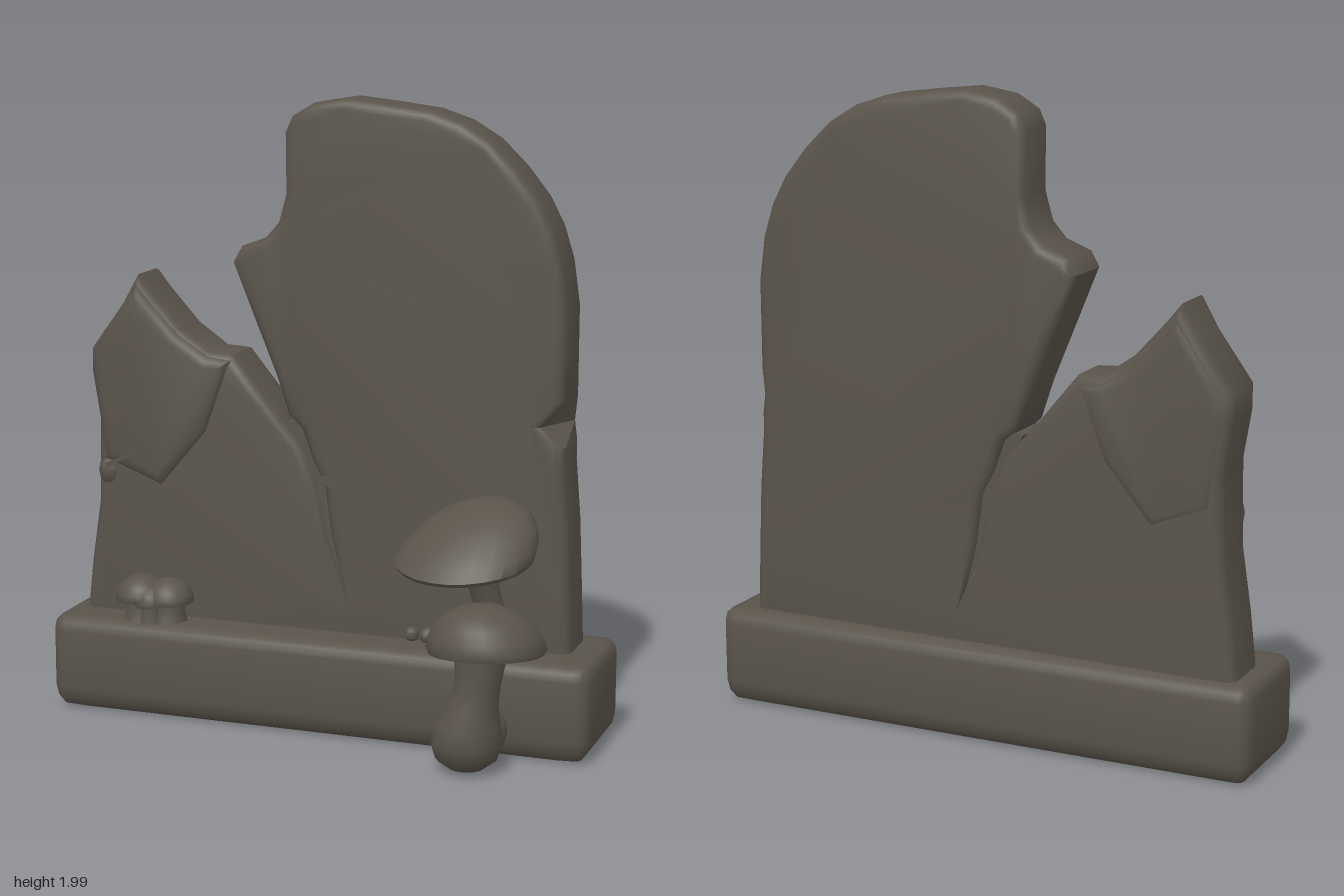
import * as THREE from 'three';
import { toCreasedNormals } from 'three/addons/utils/BufferGeometryUtils.js';

const stone = new THREE.MeshStandardMaterial({ color: 0x59534a });
stone.name = 'stone';

function add(group, name, geometry, crease = 0.75) {
  const mesh = new THREE.Mesh(toCreasedNormals(geometry, crease), stone);
  mesh.name = name;
  group.add(mesh);
  return mesh;
}

// Skin a list of equal-sized rings, ordered from the top down and outside
function loft(rings) {
  const n = rings[0].length, index = [];
  for (let i = 0; i < rings.length - 1; i++) {
    for (let j = 0; j < n; j++) {
      const a = i * n + j, b = i * n + (j + 1) % n;
      index.push(a, a + n, b, b, a + n, b + n);
    }
  }
  const g = new THREE.BufferGeometry();
  g.setAttribute('position', new THREE.Float32BufferAttribute(rings.flat(2), 3));
  g.setIndex(index);
  return g.toNonIndexed();
}

// Rounded rectangle ring of the plinth, inset by d at height y
function plinthRing([d, y]) {
  const hx = 0.897 - d, hz = Math.max(0.2 - d, 0.001);
  const r = Math.min(d >= 0.05 ? 0.06 : Math.max(0.05 - d, 0.015), hz);
  const ring = [];
  for (let c = 0; c < 4; c++) {
    const sx = c === 0 || c === 3 ? 1 : -1, sz = c < 2 ? -1 : 1;
    for (let k = 0; k <= 4; k++) {
      const a = (c + k / 4) * Math.PI / 2;
      const x = sx * (hx - r) + r * Math.cos(a);
      const z = sz * (hz - r) - r * Math.sin(a);
      ring.push([x - 0.003, y, z - 0.14 - (z < 0 ? 0.014 * x : 0)]);
    }
  }
  return ring;
}

// Upright stem through [x, y, z, radius] stations, top first
function stem(stations) {
  return loft(stations.map(([x, y, z, r]) => Array.from({ length: 16 }, (_, k) => {
    const a = k * Math.PI / 8;
    return [x + r * Math.cos(a), y, z - r * Math.sin(a)];
  })));
}

// Domed cap with a shallow hollow underside; leanX and leanZ move its apex sideways
function cap(group, name, r, h, [x, y, z], tiltX, tiltZ, sx = 1, leanX = 0, leanZ = 0) {
  const profile = [[0, 0.12], [0.45, 0.1], [0.8, 0.0], [0.97, -0.1], [1, 0], [0.95, 0.25],
    [0.82, 0.54], [0.6, 0.8], [0.32, 0.96], [0, 1]].map(([u, v]) => new THREE.Vector2(u * r, v * h));
  const g = new THREE.LatheGeometry(profile, 24);
  const p = g.attributes.position;
  for (let i = 0; i < p.count; i++) {
    const t = Math.max(0, p.getY(i) / h);
    p.setX(i, p.getX(i) + leanX * t);
    p.setZ(i, p.getZ(i) + leanZ * t);
  }
  const mesh = add(group, name, g, 0.9);
  mesh.position.set(x, y, z);
  mesh.rotation.set(tiltX, 0, tiltZ);
  mesh.scale.x = sx;
}

// Bevelled plate from an outline, spanning z back..front
function plate(points, back, front, bevel) {
  const shape = new THREE.Shape(points.map(([x, y]) => new THREE.Vector2(x, y)));
  const g = new THREE.ExtrudeGeometry(shape, {
    depth: front - back - 2 * bevel, bevelEnabled: bevel > 0, bevelThickness: bevel,
    bevelSize: bevel, bevelOffset: -bevel, bevelSegments: 3
  });
  return g.translate(0, 0, back + bevel);
}

// Hairline crack: a tapering thin sliver along a path
function crack(group, points, z, width) {
  const last = points.length - 1;
  const lower = points.map(([x, y], i) => [x, y - (i === last ? 0 : width * (1 - i / last))]);
  add(group, 'hairlineCrack', plate([...lower, ...points.slice(0, -1).reverse()], z - 0.008, z, 0));
}

export function createModel() {
  const model = new THREE.Group();
  model.name = 'brokenHeadstone';

  // Plinth, hollow underneath
  add(model, 'plinth', loft([[0.2, 0.315], [0.05, 0.318], [0.02, 0.312], [0.006, 0.298], [0, 0.27],
    [0, 0.08], [0.008, 0.045], [0.028, 0.018], [0.05, 0.008], [0.06, 0.012], [0.066, 0.03],
    [0.075, 0.19], [0.1, 0.22], [0.2, 0.225]].map(plinthRing)));

  // Headstone split by a deep crack
  const slab = plate([
    [-0.845, 0.25], [0.8, 0.25], [0.79, 0.5], [0.78, 0.72], [0.765, 0.9], [0.765, 0.96], [0.757, 1.02],
    [0.765, 1.1], [0.765, 1.25], [0.765, 1.38], [0.745, 1.52], [0.715, 1.62], [0.67, 1.71], [0.6, 1.8],
    [0.52, 1.88], [0.43, 1.935], [0.33, 1.968], [0.2, 1.985], [0.06, 2], [-0.05, 1.982], [-0.12, 1.94],
    [-0.142, 1.89], [-0.14, 1.7], [-0.165, 1.61], [-0.21, 1.56], [-0.29, 1.53], [-0.318, 1.48],
    [-0.24, 1.29], [-0.17, 1.12], [-0.13, 1.0], [-0.085, 0.96], [-0.05, 0.86], [-0.012, 0.79],
    [0.012, 0.62], [0.06, 0.45], [0.002, 0.62], [-0.03, 0.78], [-0.085, 0.91], [-0.2, 1.04], [-0.32, 1.185],
    [-0.4, 1.19], [-0.5, 1.26], [-0.6, 1.37], [-0.645, 1.425], [-0.7, 1.33], [-0.81, 1.18], [-0.81, 1.1],
    [-0.785, 0.95], [-0.79, 0.68], [-0.82, 0.48]
  ], -0.265, -0.085, 0.033);
  const p = slab.attributes.position;
  for (let i = 0; i < p.count; i++) {
    const x = p.getX(i), y = p.getY(i), z = p.getZ(i);
    if (z < -0.18) p.setZ(i, z - 0.022 * THREE.MathUtils.clamp((1.95 - y) / 0.4, 0, 1)); // thicker low down
    if (z > -0.18 && x > 0.7 && Math.abs(y - 1.02) < 0.035) p.setX(i, x - 0.06); // chipped edge
  }
  add(model, 'headstone', slab);

  // Stone remaining inside the crack
  add(model, 'crackFill', plate([[0.1, 0.4], [0.06, 0.8], [-0.06, 0.99], [-0.14, 0.98], [-0.08, 0.8],
    [0.0, 0.5]], -0.265, -0.105, 0));

  // Thicker stone on the shorter broken peak
  add(model, 'peakLayer', plate([[-0.56, 0.74], [-0.4, 0.93], [-0.315, 1.17], [-0.4, 1.18], [-0.5, 1.245],
    [-0.6, 1.35], [-0.645, 1.4], [-0.695, 1.32], [-0.8, 1.175], [-0.8, 1.1], [-0.778, 0.95],
    [-0.765, 0.82]], -0.292, -0.068, 0.04));

  // Hairline cracks and a loose nub
  crack(model, [[0.13, 1.43], [0.2, 1.4], [0.27, 1.385], [0.34, 1.34], [0.39, 1.265]], -0.08, 0.012);
  crack(model, [[-0.01, 0.82], [0.05, 0.79], [0.14, 0.755]], -0.08, 0.03);
  crack(model, [[-0.75, 0.81], [-0.68, 0.84], [-0.6, 0.88]], -0.064, 0.02);
  const nub = add(model, 'edgeNub', new THREE.IcosahedronGeometry(0.045, 1));
  nub.position.set(-0.75, 0.78, -0.11);
  nub.scale.set(0.9, 1.2, 0.9);

  // Tall mushroom leaning against the stone
  const tall = new THREE.Group();
  tall.name = 'tallMushroom';
  add(tall, 'tallStem', stem([[0.53, 0.68, 0.06, 0], [0.53, 0.68, 0.06, 0.06], [0.545, 0.58, 0.035, 0.05],
    [0.57, 0.45, 0.0, 0.045], [0.59, 0.37, -0.025, 0.055], [0.6, 0.3, -0.035, 0.07], [0.6, 0.3, -0.035, 0]]));
  cap(tall, 'tallCap', 0.195, 0.13, [0.512, 0.65, 0.095], 0.22, 0.04, 1.12, 0.05, -0.11);
  model.add(tall);

  // Front mushroom growing beside the plinth
  const front = new THREE.Group();
  front.name = 'frontMushroom';
  add(front, 'frontStem', stem([[0.6, 0.42, 0.19, 0], [0.6, 0.42, 0.19, 0.085], [0.597, 0.36, 0.2, 0.078],
    [0.59, 0.28, 0.205, 0.07], [0.575, 0.22, 0.205, 0.078], [0.56, 0.16, 0.2, 0.1], [0.555, 0.1, 0.195, 0.11],
    [0.555, 0.05, 0.195, 0.095], [0.555, 0.02, 0.195, 0.055], [0.555, 0.015, 0.195, 0]]));
  const foot = add(front, 'stemFoot', new THREE.SphereGeometry(0.085, 16, 12));
  foot.position.set(0.565, 0.105, 0.09);
  cap(front, 'frontCap', 0.182, 0.135, [0.608, 0.395, 0.178], -0.08, 0.03, 1, -0.01, 0.02);
  model.add(front);

  // Small cluster on the plinth's right-hand side
  const cluster = new THREE.Group();
  cluster.name = 'smallCluster';
  [[-0.61, -0.03, 0.085, 0.39, 0.07], [-0.515, -0.03, 0.08, 0.385, 0.07],
    [-0.565, 0.0, 0.055, 0.375, 0.06]].forEach(([x, z, r, y, h]) => {
    add(cluster, 'smallStem', stem([[x, y + 0.01, z, 0], [x, y + 0.01, z, r * 0.6], [x, 0.345, z, r * 0.62],
      [x, 0.31, z, r * 0.75], [x, 0.31, z, 0]]));
    cap(cluster, 'smallCap', r, h, [x, y, z], 0.05, 0.04);
  });
  model.add(cluster);

  // Tiny buds
  for (const [x, r] of [[0.29, 0.024], [0.345, 0.028]]) {
    add(model, 'bud', new THREE.SphereGeometry(r, 10, 8)).position.set(x, 0.335, -0.08);
  }
  return model;
}
